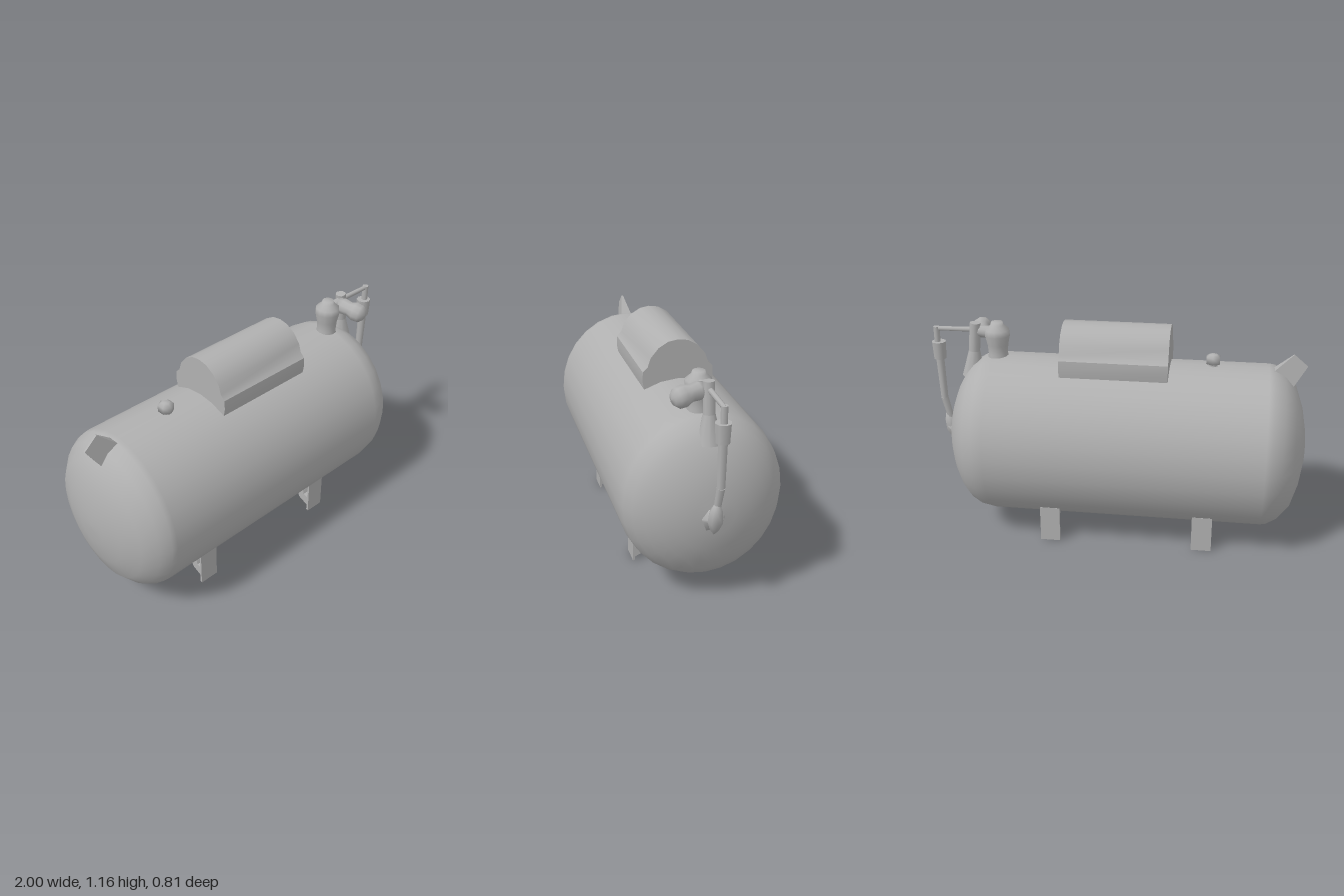
import * as THREE from 'three';
import { toCreasedNormals } from 'three/addons/utils/BufferGeometryUtils.js';

export function createModel() {
  const model = new THREE.Group();
  model.name = 'storageTank';
  const grey = new THREE.MeshStandardMaterial({ color: 0xb0b0b0 });
  grey.name = 'grey metal';

  const V = (x, y, z) => new THREE.Vector3(x, y, z);
  function add(name, geometry, x = 0, y = 0, z = 0) {
    const mesh = new THREE.Mesh(geometry, grey);
    mesh.name = name;
    mesh.position.set(x, y, z);
    model.add(mesh);
    return mesh;
  }
  // Tapered round bar from a to b
  function rod(name, a, b, ra, rb, sides = 10) {
    const dir = b.clone().sub(a);
    const mesh = add(name, new THREE.CylinderGeometry(rb, ra, dir.length(), sides));
    mesh.position.copy(a).addScaledVector(dir, 0.5);
    mesh.quaternion.setFromUnitVectors(V(0, 1, 0), dir.normalize());
    return mesh;
  }
  // Outline given as [z, y], extruded along x from x0 to x1
  function slab(name, outline, x0, x1, crease = 0.7) {
    const shape = new THREE.Shape(outline.map(([z, y]) => new THREE.Vector2(-z, y)));
    const g = new THREE.ExtrudeGeometry(shape, { depth: x1 - x0, bevelEnabled: false });
    g.rotateY(Math.PI / 2);
    return add(name, toCreasedNormals(g, crease), x0);
  }
  const lathe = (pts, sides) =>
    new THREE.LatheGeometry(pts.map(([r, y]) => new THREE.Vector2(r, y)), sides);

  // Tank body, slightly taller than deep, lying along x
  const body = lathe([
    [0, -1], [0.22, -0.998], [0.5, -0.975], [0.76, -0.935], [0.92, -0.875], [0.99, -0.82],
    [1, -0.79], [1, -0.3], [1, 0.2], [1, 0.65], [0.975, 0.71], [0.9, 0.765], [0.79, 0.805],
    [0.65, 0.84], [0.46, 0.872], [0.24, 0.892], [0, 0.9],
  ], 28);
  body.rotateZ(-Math.PI / 2);
  body.scale(1, 0.437, 0.405);
  add('tankBody', body, 0, 0.524, 0);

  // Rounded manway housing on top
  const half = [[0.165, 0.87], [0.182, 0.96], [0.18, 1.01], [0.155, 1.035], [0.14, 1.08],
    [0.1, 1.128], [0.05, 1.157]];
  slab('topHousing', [...half, [0, 1.165], ...half.map(([z, y]) => [-z, y]).reverse()], -0.28, 0.28);

  // Wedge-shaped lug at the left end, thin at its upper edge
  const lug = new THREE.BoxGeometry(0.1, 0.19, 0.08);
  const lp = lug.attributes.position;
  for (let i = 0; i < lp.count; i++) {
    if (lp.getY(i) > 0) lp.setXYZ(i, lp.getX(i) * 0.95, lp.getY(i), lp.getZ(i) * 0.12);
    else lp.setX(i, lp.getX(i) * 1.5);
  }
  lug.computeVertexNormals();
  add('endLug', lug, -0.885, 0.935, 0).rotation.z = 0.7;

  // Small relief fitting
  rod('reliefStem', V(-0.5, 0.93, 0), V(-0.5, 0.99, 0), 0.03, 0.022, 6);
  add('reliefCap', lathe([[0, -0.025], [0.04, -0.02], [0.04, 0.015], [0.02, 0.028], [0, 0.03]], 6),
    -0.5, 0.992, 0);

  // Four feet: outer plate with a bent brace running under the tank
  for (const [x0, x1] of [[-0.54, -0.433], [0.278, 0.384]]) {
    for (const s of [1, -1]) {
      const mirror = (pts) => pts.map(([z, y]) => [z * s, y]);
      slab('footPlate', mirror([[0.27, 0], [0.27, 0.2], [0.261, 0.2], [0.258, 0.005]]), x0, x1);
      slab('footBrace', mirror([[0.265, 0.003], [0.18, 0.04], [0.155, 0.085], [0.11, 0.12],
        [0.18, 0.15], [0.2, 0.125], [0.213, 0.08], [0.25, 0.068], [0.265, 0.09]]),
      x0 + 0.022, x1 - 0.022, 0.9);
    }
  }

  // Valve body with bulbous head
  add('valveBody', lathe([[0.065, 0.9], [0.052, 0.97], [0.056, 1.02], [0.067, 1.07], [0.064, 1.1],
    [0.036, 1.125], [0.03, 1.142], [0, 1.142]], 12), 0.64, 0, 0.01);
  // Sideways knob
  const knob = add('valveKnob', lathe([[0, -0.075], [0.035, -0.07], [0.045, -0.04], [0.04, 0],
    [0.053, 0.035], [0.05, 0.07], [0.03, 0.092], [0, 0.097]], 10), 0.742, 1.078, 0.08);
  knob.quaternion.setFromUnitVectors(V(0, 1, 0), V(0.22, -0.14, 0.97).normalize());
  rod('valveLink', V(0.66, 1.08, 0.01), V(0.76, 1.09, 0.01), 0.035, 0.03);
  // Post holding the pipe
  rod('pipePost', V(0.78, 0.84, 0), V(0.768, 0.98, 0), 0.06, 0.03);
  rod('pipePostTop', V(0.768, 0.98, 0), V(0.755, 1.135, 0), 0.03, 0.028);

  // Overhead pipe and downpipe
  rod('overheadPipe', V(0.75, 1.098, 0), V(0.975, 1.095, 0), 0.014, 0.012, 8);
  rod('downpipeTop', V(0.968, 1.0, 0), V(0.968, 1.105, 0), 0.017, 0.017, 8);
  const coupling = new THREE.CylinderGeometry(0.039, 0.034, 0.095, 8);
  add('pipeCoupling', coupling, 0.961, 0.975, 0);
  rod('downpipe', V(0.962, 0.94, 0), V(0.955, 0.7, 0), 0.023, 0.02, 8);
  rod('downpipeLower', V(0.955, 0.7, 0), V(0.93, 0.57, 0.008), 0.02, 0.017, 8);

  // Pointed end fitting where the pipe meets the tank
  const fitting = add('endFitting', lathe([[0, -0.085], [0.022, -0.05], [0.038, 0], [0.032, 0.05],
    [0.016, 0.09], [0, 0.095]], 8), 0.926, 0.515, 0.012);
  fitting.rotation.z = -0.2;
  rod('fittingFlange', V(0.86, 0.5, 0.01), V(0.945, 0.53, 0.01), 0.075, 0.03, 6);

  return model;
}
